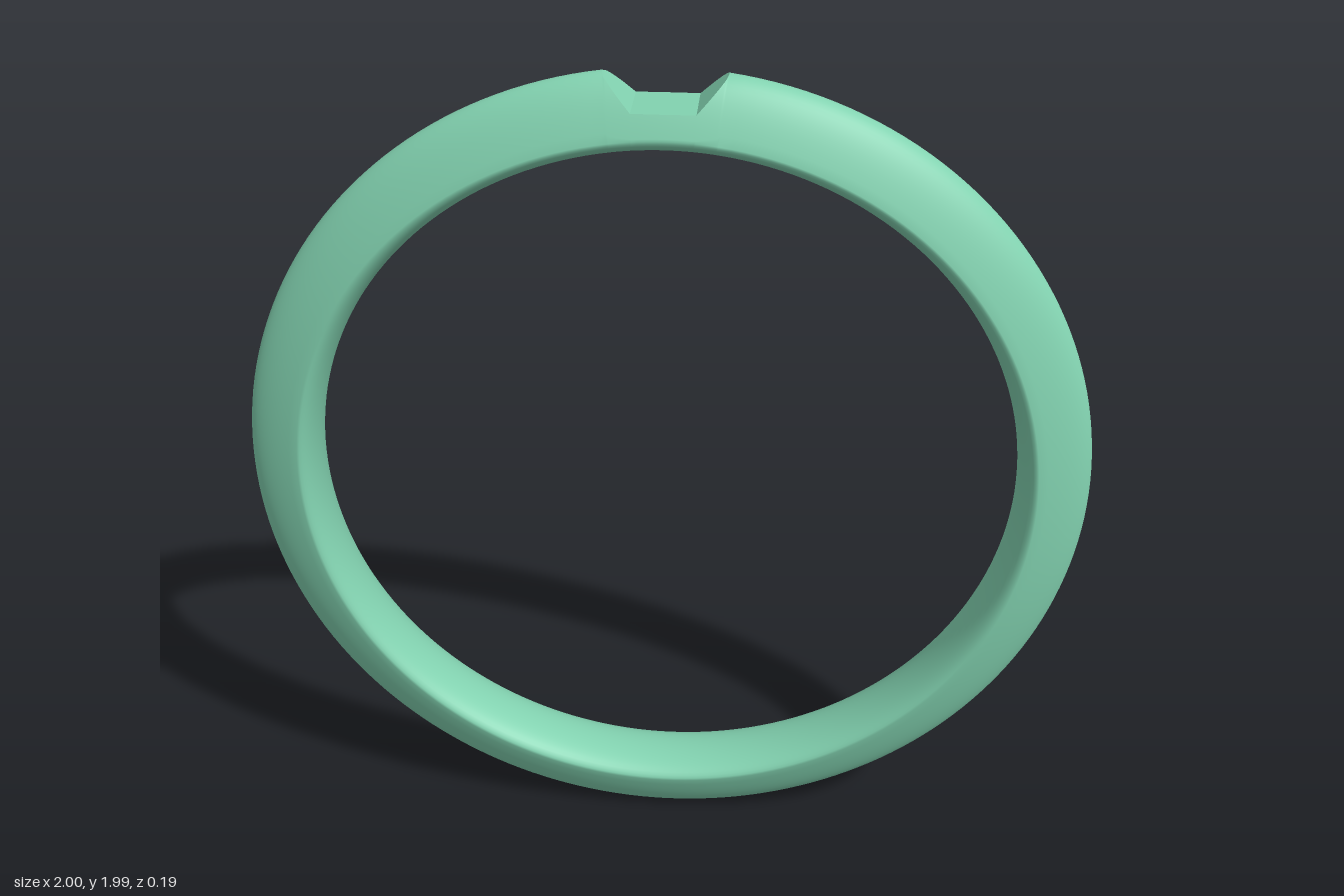
import * as THREE from 'three';
import { mergeVertices } from 'three/addons/utils/BufferGeometryUtils.js';

const CENTER_Y = 1, OUTER = 1, EDGE = 0.87, INNER = 0.83, HALF = 0.093;

// Notch outline: flat floor at height FLOOR, straight slopes up to the rim
const FLOOR = 0.922, FLOOR_X = 0.07, SLOPE = 1.046;
const floorAngle = Math.atan2(FLOOR_X, FLOOR);
const rimAngle = 0.1354;

// Radius of the crest at angle t from the top, lowered inside the notch
function crest(t) {
  const a = Math.abs(t);
  if (a >= rimAngle) return OUTER;
  if (a <= floorAngle) return FLOOR / Math.cos(a);
  return Math.min(OUTER, (FLOOR - SLOPE * FLOOR_X) / (Math.cos(a) - SLOPE * Math.sin(a)));
}

// Half width of the dome where the notch cuts it
const cutWidth = (t) => HALF * Math.sqrt(Math.max(0, OUTER - crest(t)) / (OUTER - EDGE));

// Evenly spaced angles, both ends included
const span = (a, b, n) => Array.from({ length: n + 1 }, (_, i) => a + ((b - a) * i) / n);

// Skin a surface over the cross-sections section(t) = [[radius, z], ...]
function sweep(angles, section) {
  const pos = [], index = [];
  let n = 0;
  for (const t of angles) {
    const pts = section(t);
    n = pts.length;
    for (const [r, z] of pts) pos.push(r * Math.sin(t), CENTER_Y + r * Math.cos(t), z);
  }
  for (let i = 0; i < angles.length - 1; i++) {
    for (let j = 0; j < n - 1; j++) {
      const a = i * n + j, b = a + 1, c = a + n, d = c + 1;
      index.push(a, b, c, b, d, c);
    }
  }
  let geo = new THREE.BufferGeometry();
  geo.setAttribute('position', new THREE.Float32BufferAttribute(pos, 3));
  geo.setIndex(index);
  geo = mergeVertices(geo, 1e-5);
  geo.computeVertexNormals();
  return geo;
}

// Domed outside and rounded inside, from the crest on +z round to the crest on -z
function bandSection(t) {
  const start = cutWidth(t), dome = [], N = 12, M = 20;
  for (let i = 0; i < N; i++) {
    const z = start + ((HALF - start) * i) / N;
    dome.push([OUTER - (OUTER - EDGE) * (z / HALF) ** 2, z]);
  }
  const inside = span(0, Math.PI, M).map((a) => [EDGE - (EDGE - INNER) * Math.sin(a), HALF * Math.cos(a)]);
  return [...dome, ...inside, ...dome.map(([r, z]) => [r, -z]).reverse()];
}

// Straight line across the notch
function notchSection(t) {
  const w = cutWidth(t);
  return span(-w, w, 6).map((z) => [crest(t), z]);
}

export function createModel() {
  const group = new THREE.Group();
  group.name = 'ring';
  const material = new THREE.MeshStandardMaterial({ color: 0x82d2b0 });

  const add = (name, geo) => {
    const mesh = new THREE.Mesh(geo, material);
    mesh.name = name;
    group.add(mesh);
  };

  const leftSlope = span(floorAngle, rimAngle, 16);
  const rightSlope = span(-rimAngle, -floorAngle, 16);
  const floor = span(-floorAngle, floorAngle, 12);
  const rest = span(rimAngle, 2 * Math.PI - rimAngle, 180);

  // Band all the way round, with its crest opened at the notch
  add('band', sweep([...rightSlope, ...floor.slice(1), ...leftSlope.slice(1), ...rest.slice(1)], bandSection));

  // Notch faces
  add('notchFloor', sweep(floor, notchSection));
  add('notchSlopeLeft', sweep(leftSlope, notchSection));
  add('notchSlopeRight', sweep(rightSlope, notchSection));
  return group;
}
